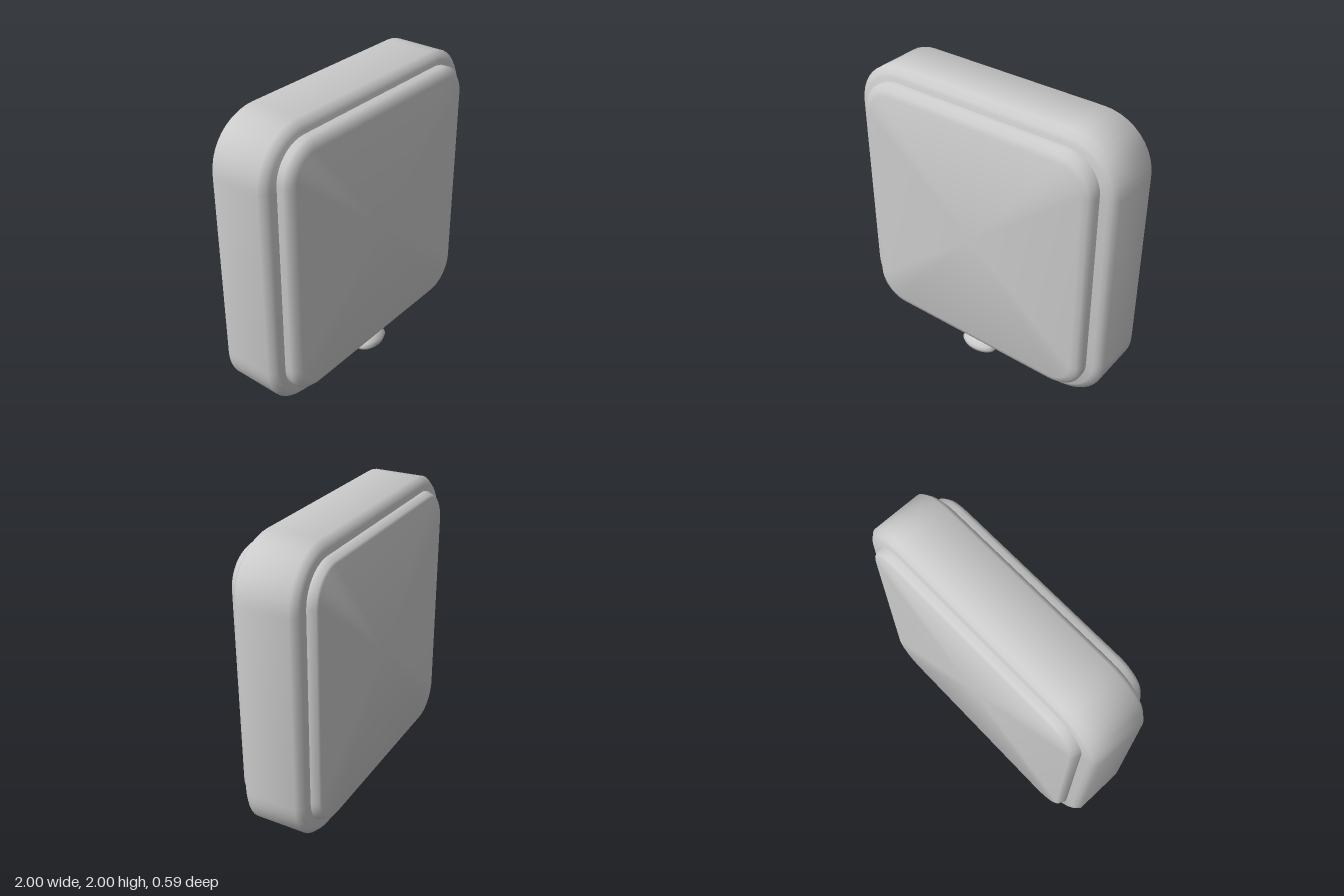
import * as THREE from 'three';
import { toCreasedNormals } from 'three/addons/utils/BufferGeometryUtils.js';

const CORNER_STEPS = 10;

// Rounded rectangle loop, counter-clockwise seen from the front
function roundedLoop(halfW, halfH, r, z) {
  const points = [];
  const centres = [[1, 1], [-1, 1], [-1, -1], [1, -1]];
  centres.forEach(([sx, sy], corner) => {
    for (let i = 0; i <= CORNER_STEPS; i++) {
      const a = (corner + i / CORNER_STEPS) * Math.PI / 2;
      points.push([sx * (halfW - r) + r * Math.cos(a), sy * (halfH - r) + r * Math.sin(a), z]);
    }
  });
  return points;
}

// Closed slab through [z, inset] sections, ordered from back to front
function roundedSlab(halfW, halfH, radius, sections) {
  const positions = [], index = [];
  const loops = sections.map(([z, inset]) => roundedLoop(halfW - inset, halfH - inset, radius - inset, z));
  const n = loops[0].length;
  loops.forEach(loop => loop.forEach(p => positions.push(...p)));
  const back = positions.length / 3, front = back + 1;
  positions.push(0, 0, sections[0][0], 0, 0, sections[sections.length - 1][0]);
  const last = (loops.length - 1) * n;
  for (let i = 0; i < n; i++) {
    const j = (i + 1) % n;
    for (let k = 0; k < last; k += n) {
      index.push(k + i, k + j, k + n + j, k + i, k + n + j, k + n + i);
    }
    index.push(back, j, i, front, last + i, last + j);
  }
  const geometry = new THREE.BufferGeometry();
  geometry.setAttribute('position', new THREE.Float32BufferAttribute(positions, 3));
  geometry.setIndex(index);
  return toCreasedNormals(geometry, 0.95);
}

export function createModel() {
  const group = new THREE.Group();
  const material = new THREE.MeshStandardMaterial({ color: 0xcccccc });
  const add = (name, geometry, x, y, z) => {
    const mesh = new THREE.Mesh(geometry, material);
    mesh.name = name;
    mesh.position.set(x, y, z);
    group.add(mesh);
    return mesh;
  };

  // Thick outer body with chamfered rims
  add('body', roundedSlab(1, 1, 0.35, [
    [-0.235, 0.055], [-0.222, 0.03], [-0.19, 0], [0.16, 0], [0.192, 0.035], [0.205, 0.06],
  ]), 0, 1, 0);

  // Raised panels on both faces
  add('frontPanel', roundedSlab(0.888, 0.905, 0.24, [
    [0.15, 0], [0.25, 0], [0.28, 0.03], [0.295, 0.07],
  ]), 0, 1.005, 0);
  add('backPanel', roundedSlab(0.888, 0.9, 0.24, [
    [-0.295, 0.035], [-0.285, 0.02], [-0.24, 0], [-0.15, 0],
  ]), 0, 1.005, 0);

  // Small rounded latch at the bottom of the front
  const profile = [[0, 0.005], [0.1, 0.005], [0.13, 0.015], [0.14, 0.04], [0.125, 0.06], [0.095, 0.085], [0.06, 0.095], [0, 0.098]]
    .map(([r, y]) => new THREE.Vector2(r, y));
  const latch = add('latch', new THREE.LatheGeometry(profile, 24), 0, 0, 0.2);
  latch.scale.z = 0.6;

  return group;
}
